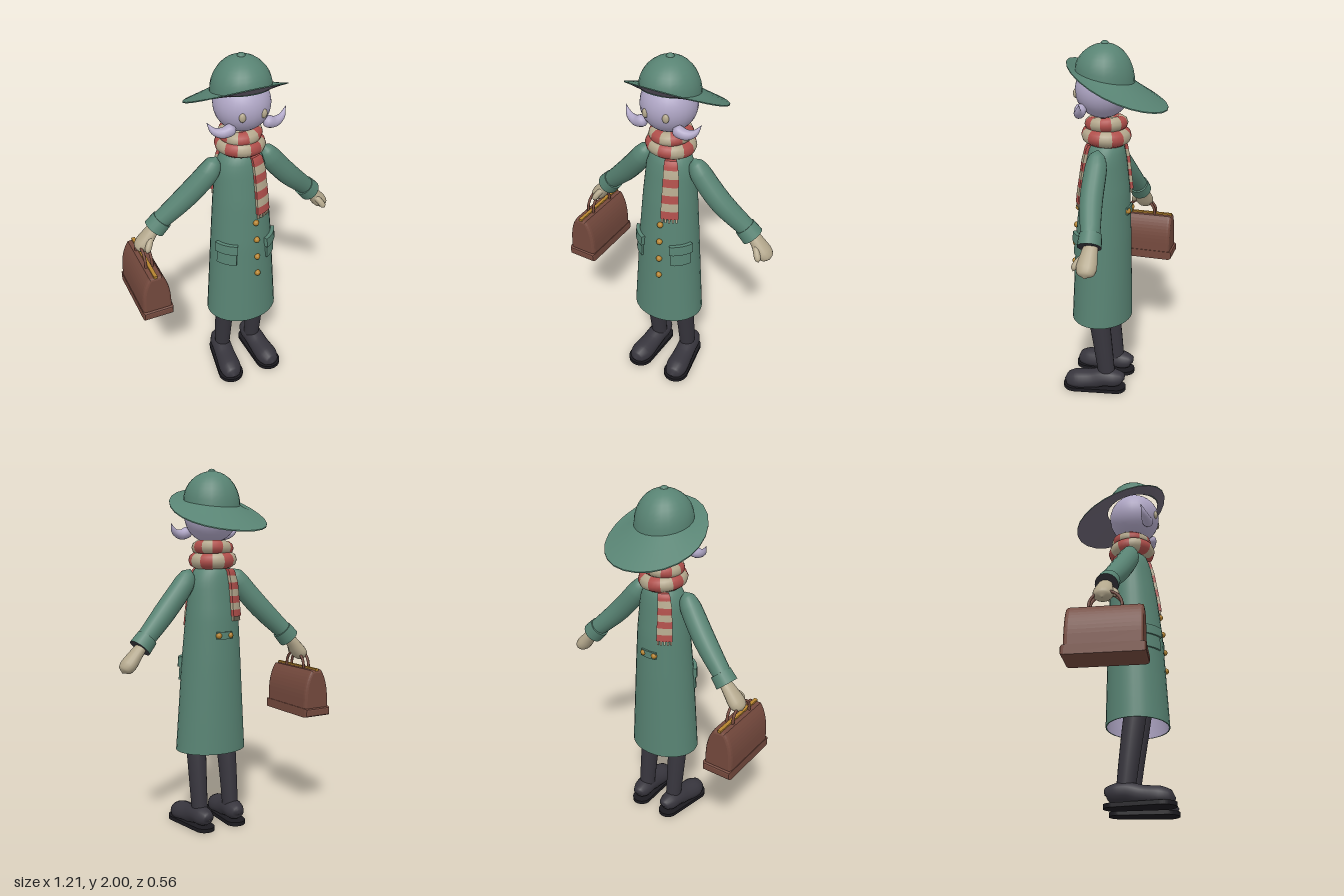
import * as THREE from 'three';

const mat = (name, color, double) => {
  const m = new THREE.MeshStandardMaterial({ color });
  m.name = name;
  if (double) m.side = THREE.DoubleSide;
  return m;
};
const CX = 0.025; // body centre line

export function createModel() {
  const root = new THREE.Group();
  root.name = 'travellerInCoat';
  const green = mat('coatGreen', 0x588373), lilac = mat('skinLilac', 0xb0a7c6), plum = mat('brimLining', 0x6a6372);
  const red = mat('scarfRed', 0xb04f4b), beige = mat('beige', 0xb4a88d), gold = mat('brass', 0xb5832f);
  const dark = mat('trouserBlack', 0x37353d), sole = mat('soleBlack', 0x1b1a1f), brown = mat('bagBrown', 0x74493d);

  const add = (name, geo, material, x = 0, y = 0, z = 0) => {
    const m = new THREE.Mesh(geo, material);
    m.name = name;
    m.position.set(x, y, z);
    root.add(m);
    return m;
  };

  // Surface closed in u; fn(angle, row) returns [x, y, z]
  const grid = (fn, nu, nv, flip = false) => {
    const pos = [], idx = [];
    for (let i = 0; i <= nv; i++)
      for (let j = 0; j < nu; j++) pos.push(...fn((j / nu) * Math.PI * 2, i / nv));
    for (let i = 0; i < nv; i++)
      for (let j = 0; j < nu; j++) {
        const a = i * nu + j, b = i * nu + (j + 1) % nu, c = b + nu, d = a + nu;
        if (flip) idx.push(a, c, b, a, d, c);
        else idx.push(a, b, c, a, c, d);
      }
    const g = new THREE.BufferGeometry();
    g.setAttribute('position', new THREE.Float32BufferAttribute(pos, 3));
    g.setIndex(idx);
    g.computeVertexNormals();
    return g;
  };

  // Tapered tube through [x, y, z, radius] points
  const limb = (pts, wide = 1, floor = -1) => {
    const path = new THREE.CatmullRomCurve3(pts.map(p => new THREE.Vector3(p[0], p[1], p[2])));
    const rad = new THREE.CatmullRomCurve3(pts.map(p => new THREE.Vector3(p[3], 0, 0)), false, 'catmullrom', 0.4);
    return grid((a, t) => {
      const c = path.getPoint(t), T = path.getTangent(t), r = Math.max(rad.getPoint(t).x, 0.001);
      const ref = Math.abs(T.z) > 0.75 ? new THREE.Vector3(0, 1, 0) : new THREE.Vector3(0, 0, 1);
      const A = ref.cross(T).normalize(), B = T.clone().cross(A);
      c.addScaledVector(A, r * Math.cos(a)).addScaledVector(B, r * wide * Math.sin(a));
      return [c.x, Math.max(c.y, floor), c.z];
    }, 16, (pts.length - 1) * 4);
  };

  // Coat: [height, half width, centre z, half depth]
  const rows = [[0.44, 0.203, 0.07, 0.17], [0.95, 0.17, 0.06, 0.153], [1.2, 0.152, 0.05, 0.135],
    [1.38, 0.135, 0.045, 0.11], [1.45, 0.112, 0.042, 0.095], [1.49, 0.06, 0.04, 0.06]];
  const coatAt = (a, y, off = 0) => {
    let k = 0;
    while (k < rows.length - 2 && y > rows[k + 1][0]) k++;
    const p = rows[k], q = rows[k + 1], t = (y - p[0]) / (q[0] - p[0]);
    const [rx, zc, rz] = [1, 2, 3].map(i => p[i] + (q[i] - p[i]) * t);
    return [CX + (rx + off) * Math.sin(a), y, zc + (rz + off) * Math.cos(a)];
  };
  add('coat', grid((a, t) => coatAt(a, 0.44 + 1.05 * t), 32, 30), green);
  add('coatLining', grid((a, t) => coatAt(a, 0.44 + 0.9 * t, -0.006), 32, 12, true), lilac);
  add('coatHem', grid((a, t) => coatAt(a, 0.44, -0.006 * (1 - t)), 32, 1), green);

  // Plate bent round the coat
  const patch = (name, material, a, w, y0, y1, off, thick) => {
    const g = new THREE.BoxGeometry(w, y1 - y0, thick, 6, 3, 1), p = g.attributes.position;
    for (let i = 0; i < p.count; i++)
      p.setXYZ(i, ...coatAt(a + p.getX(i), (y0 + y1) / 2 + p.getY(i), off + p.getZ(i) + thick / 2));
    g.computeVertexNormals();
    return add(name, g, material);
  };
  for (const s of [1, -1]) {
    patch('pocket', green, s * 0.86, 0.68, 0.84, 0.95, -0.004, 0.014);
    patch('pocketFlap', green, s * 0.86, 0.76, 0.915, 0.97, -0.004, 0.024);
  }
  patch('backTab', green, Math.PI, 0.6, 1.08, 1.12, -0.004, 0.014);

  // Buttons
  const button = (a, y, off) => add('button', new THREE.SphereGeometry(0.017, 12, 8), gold, ...coatAt(a, y, off));
  [1.09, 0.985, 0.875, 0.765].forEach(y => button(0.15, y, 0.002));
  [-0.22, 0.22].forEach(d => button(Math.PI + d, 1.1, 0.004));

  // Scarf wraps in alternating colours
  [[1.572, 0.078, 0.038, 0.05, 0], [1.508, 0.09, 0.044, -0.06, 1]].forEach(([y, R, r, tilt, shift]) => {
    const wrap = new THREE.Group();
    wrap.name = 'scarfWrap';
    wrap.position.set(CX, y, 0.042);
    wrap.rotation.set(Math.PI / 2 + tilt, tilt, 0);
    for (let k = 0; k < 12; k++) {
      const m = new THREE.Mesh(new THREE.TorusGeometry(R, r, 10, 3, Math.PI / 6), (k + shift) % 2 ? red : beige);
      m.name = 'scarfStripe';
      m.rotation.z = k * Math.PI / 6;
      wrap.add(m);
    }
    root.add(wrap);
  });
  // Scarf tails with fringes
  [[0.46, 0.56, 1.14], [Math.PI + 0.6, 0.54, 1.2]].forEach(([a, w, low]) => {
    const n = 7, h = (1.46 - low) / n;
    for (let k = 0; k < n; k++)
      patch('scarfTailStripe', k % 2 ? beige : red, a, w, low + k * h, low + (k + 1) * h, 0, 0.018);
    for (let k = 0; k < 5; k++)
      patch('scarfFringe', beige, a + (k - 2) * w * 0.21, w * 0.11, low - 0.025, low, 0.003, 0.01);
  });

  // Head and eyes
  add('head', new THREE.SphereGeometry(0.146, 28, 20), lilac, CX, 1.745, 0.06);
  for (const s of [1, -1]) {
    add('eye', new THREE.SphereGeometry(1, 14, 10), beige, CX + s * 0.057, 1.73, 0.19).scale.set(0.018, 0.025, 0.014);
    add('cheekTusk', limb([[CX + s * 0.075, 1.67, 0.15, 0.001], [CX + s * 0.095, 1.66, 0.15, 0.03],
      [CX + s * 0.14, 1.645, 0.145, 0.028], [CX + s * 0.185, 1.66, 0.135, 0.018], [CX + s * 0.215, 1.705, 0.12, 0.001]]), lilac);
  }

  // Hat: dome on a sloping base, with a drooping brim
  const dome = (a, t) => {
    const f = t * Math.PI / 2, r = 0.156 * Math.cos(f), base = 1.815 + 0.03 * Math.cos(a) * Math.cos(f);
    return [CX + r * Math.sin(a), base + (1.985 - base) * Math.sin(f), 0.049 + r * Math.cos(a)];
  };
  const brim = drop => (a, t) => {
    const c = Math.cos(a), r = 0.15 + 0.114 * t;
    const y0 = 1.82 + 0.03 * c, y1 = 1.76 + 0.12 * c + 0.02 * c * c;
    return [CX + r * Math.sin(a), y0 + (y1 - y0) * t - drop, 0.049 - 0.069 * t + r * c];
  };
  add('hatDome', grid(dome, 24, 10), green);
  add('hatBrim', grid(brim(0), 24, 5, true), green);
  add('hatBrimLining', grid(brim(0.006), 24, 5), plum);
  add('hatBrimEdge', grid((a, t) => brim(0.006 * (1 - t))(a, 1), 24, 1), green);
  add('hatButton', new THREE.SphereGeometry(0.021, 12, 8), green, CX, 1.983, 0.049).scale.y = 0.7;

  // Arms, cuffs and mitten hands
  for (const s of [1, -1]) {
    const zm = s > 0 ? 0.035 : 0.01, ze = s > 0 ? -0.005 : -0.03, zh = ze - 0.01;
    const P = list => list.map(([x, y, z, r]) => [CX + s * x, y, z, r]);
    add('sleeve', limb(P([[0.135, 1.458, 0.048, 0.001], [0.15, 1.43, 0.048, 0.04], [0.18, 1.375, 0.045, 0.058],
      [0.295, 1.235, zm, 0.06], [0.44, 1.09, ze, 0.05]])), green);
    const cuff = add('cuff', new THREE.CylinderGeometry(0.058, 0.062, 0.068, 18), [green, green, dark], CX + s * 0.445, 1.078, ze);
    cuff.quaternion.setFromUnitVectors(new THREE.Vector3(0, 1, 0), new THREE.Vector3(-s * 0.67, 0.74, 0.1).normalize());
    add('hand', limb(P([[0.45, 1.07, zh, 0.026], [0.49, 1.025, zh, 0.034], [0.535, 0.97, zh, 0.041],
      [0.56, 0.945, zh, 0.032], [0.572, 0.93, zh, 0.001]]), 1.3), beige);
    add('thumb', limb(P([[0.49, 1.02, zh + 0.02, 0.015], [0.515, 0.99, zh + 0.05, 0.018],
      [0.532, 0.962, zh + 0.066, 0.016], [0.54, 0.947, zh + 0.07, 0.001]])), beige);
  }

  // Legs and shoes
  const soleShape = new THREE.Shape();
  soleShape.absarc(0, -0.2, 0.073, Math.PI, Math.PI * 2, false);
  soleShape.absarc(0, 0.04, 0.056, 0, Math.PI, false);
  for (const s of [1, -1]) {
    add('leg', limb([[CX + s * 0.098, 0.7, 0.1, 0.055], [CX + s * 0.098, 0.44, 0.06, 0.054],
      [CX + s * 0.1, 0.25, 0.035, 0.049], [CX + s * 0.1, 0.08, 0.015, 0.044]], 1.1), dark);
    const shoe = add('shoe', limb([[0, 0.07, -0.09, 0.001], [0, 0.075, -0.078, 0.035], [0, 0.075, -0.03, 0.055],
      [0, 0.075, 0.03, 0.058], [0, 0.056, 0.1, 0.06], [0, 0.042, 0.19, 0.065],
      [0, 0.04, 0.245, 0.045], [0, 0.04, 0.268, 0.001]], 0.95, 0.022), dark, CX + s * 0.105, 0, 0);
    shoe.rotation.y = s * 0.1;
    const base = add('shoeSole', new THREE.ExtrudeGeometry(soleShape,
      { depth: 0.022, bevelEnabled: false, curveSegments: 14 }), sole, CX + s * 0.105, 0, 0);
    base.rotation.set(-Math.PI / 2, 0, s * 0.1);
  }

  // Travelling bag: domed body, base, brass frame and two handles
  const bag = new THREE.Shape();
  bag.moveTo(-0.068, 0);
  bag.lineTo(0.068, 0);
  bag.lineTo(0.066, 0.08);
  bag.bezierCurveTo(0.064, 0.14, 0.05, 0.19, 0.026, 0.225);
  bag.lineTo(-0.026, 0.225);
  bag.bezierCurveTo(-0.05, 0.19, -0.064, 0.14, -0.066, 0.08);
  const BX = -0.516, BZ = -0.025;
  add('bagBody', new THREE.ExtrudeGeometry(bag, { depth: 0.34, bevelThickness: 0.022, bevelSize: 0.015,
    bevelSegments: 3, curveSegments: 8 }), brown, BX, 0.64, BZ - 0.17);
  const slab = new THREE.Shape();
  slab.moveTo(-0.074, 0.01);
  slab.lineTo(0.074, 0.01);
  slab.lineTo(0.074, 0.037);
  slab.lineTo(-0.074, 0.037);
  add('bagBase', new THREE.ExtrudeGeometry(slab, { depth: 0.37, bevelThickness: 0.02, bevelSize: 0.012,
    bevelSegments: 3 }), brown, BX, 0.615, BZ - 0.185);
  add('bagFrame', new THREE.BoxGeometry(0.02, 0.014, 0.375), gold, BX, 0.882, BZ);
  for (const s of [1, -1]) {
    const arch = new THREE.CatmullRomCurve3([[-0.085, 0.865], [-0.075, 0.925], [-0.035, 0.962], [0.035, 0.962],
      [0.075, 0.925], [0.085, 0.865]].map(([z, y]) => new THREE.Vector3(BX + s * 0.018, y, BZ + z)));
    add('bagHandle', new THREE.TubeGeometry(arch, 24, 0.008, 8), brown);
  }
  return root;
}
